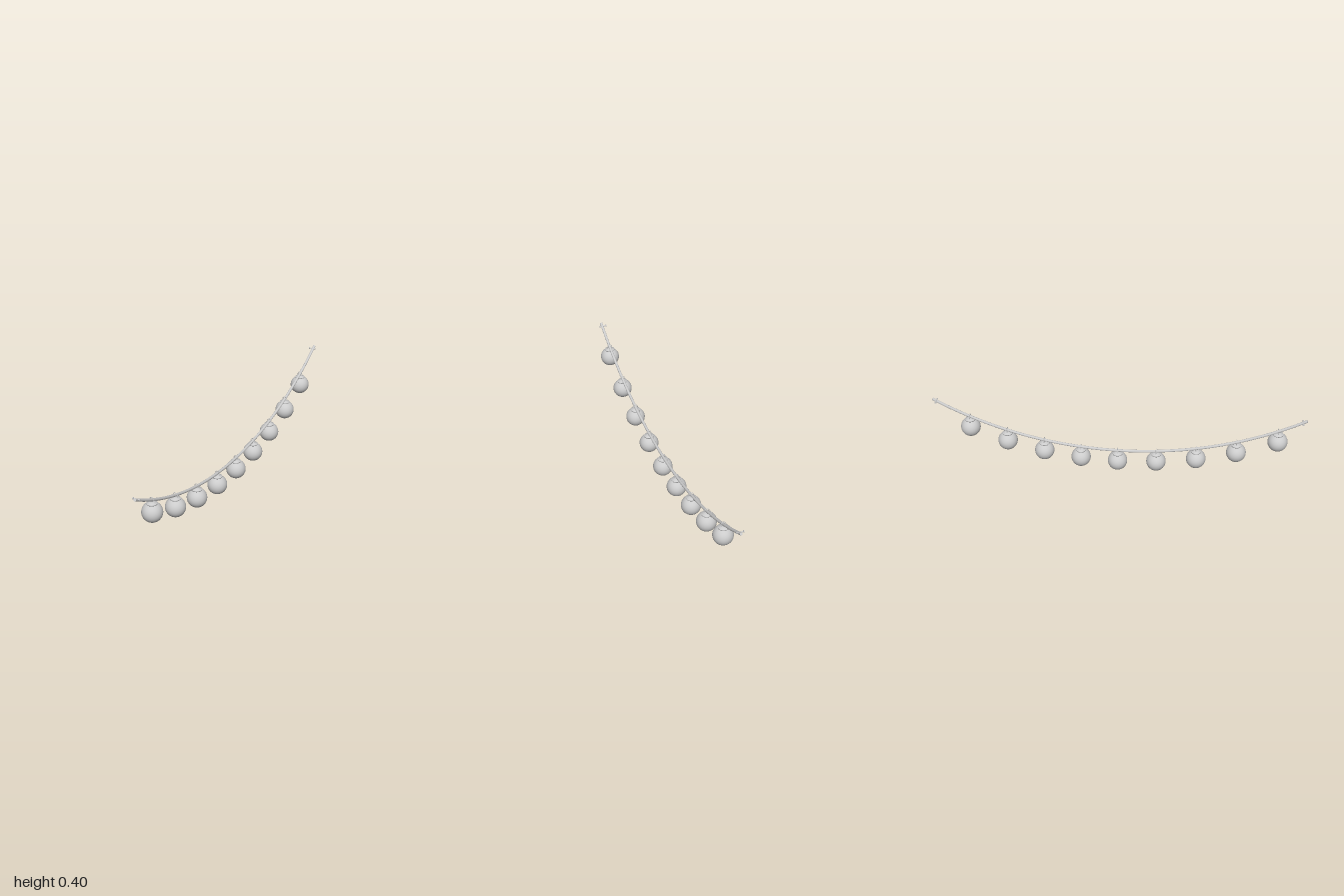
import * as THREE from 'three';

const material = new THREE.MeshStandardMaterial({ color: 0xcccccc });
const sag = (z) => 0.122 + 0.25 * z * z + 0.024 * z ** 4; // height of the hanging cable

function add(parent, name, geometry, x = 0, y = 0, z = 0) {
  const mesh = new THREE.Mesh(geometry, material);
  mesh.name = name;
  mesh.position.set(x, y, z);
  parent.add(mesh);
  return mesh;
}

export function createModel() {
  const model = new THREE.Group();
  model.name = 'hangingGlobeGarland';

  // Sagging cable with flat end caps
  const end = 0.996, radius = 0.0075;
  const points = [];
  for (let i = 0; i <= 24; i++) {
    const z = -end + (2 * end * i) / 24;
    points.push(new THREE.Vector3(0, sag(z), z));
  }
  const curve = new THREE.CatmullRomCurve3(points);
  add(model, 'cable', new THREE.TubeGeometry(curve, 96, radius, 16));
  for (const t of [0, 1]) {
    const cap = add(model, 'cableEnd', new THREE.CircleGeometry(radius, 16));
    const p = curve.getPointAt(t);
    const outward = curve.getTangentAt(t).multiplyScalar(t ? 1 : -1);
    cap.position.copy(p);
    cap.lookAt(p.clone().add(outward));
  }

  // Cross pins through both ends of the cable
  const pinGeometry = new THREE.CylinderGeometry(0.003, 0.003, 0.04, 12).rotateZ(Math.PI / 2);
  const headGeometry = new THREE.CylinderGeometry(0.006, 0.006, 0.003, 16).rotateZ(Math.PI / 2);
  for (const z of [-0.975, 0.975]) {
    const pin = new THREE.Group();
    pin.name = 'endPin';
    pin.position.set(0, sag(z) + 0.004, z);
    add(pin, 'pinShaft', pinGeometry, -0.003);
    add(pin, 'pinHead', headGeometry, -0.0225);
    add(pin, 'pinTip', new THREE.CylinderGeometry(0.004, 0.004, 0.003, 12).rotateZ(Math.PI / 2), 0.0155);
    model.add(pin);
  }

  // Globe, stepped cap and wire hook looped over the cable
  const globeGeometry = new THREE.SphereGeometry(0.053, 40, 28);
  const profile = [[0, 0.046], [0.027, 0.046], [0.027, 0.051], [0.018, 0.052], [0.015, 0.058], [0, 0.058]];
  const capGeometry = new THREE.LatheGeometry(profile.map(([x, y]) => new THREE.Vector2(x, y)), 28);
  const hookPath = new THREE.CatmullRomCurve3(
    [[-0.014, 0.054], [-0.0125, 0.066], [-0.008, 0.077], [0, 0.081], [0.008, 0.077], [0.0125, 0.066], [0.014, 0.054]]
      .map(([x, y]) => new THREE.Vector3(x, y, 0)));
  const hookGeometry = new THREE.TubeGeometry(hookPath, 28, 0.002, 8);

  for (const z of [-0.8, -0.6, -0.4, -0.2, 0, 0.21, 0.425, 0.638, 0.852]) {
    const lamp = new THREE.Group();
    lamp.name = 'globeLamp';
    lamp.position.set(0, sag(z) - 0.067, z);
    add(lamp, 'globe', globeGeometry);
    add(lamp, 'cap', capGeometry);
    add(lamp, 'hook', hookGeometry);
    model.add(lamp);
  }
  return model;
}
